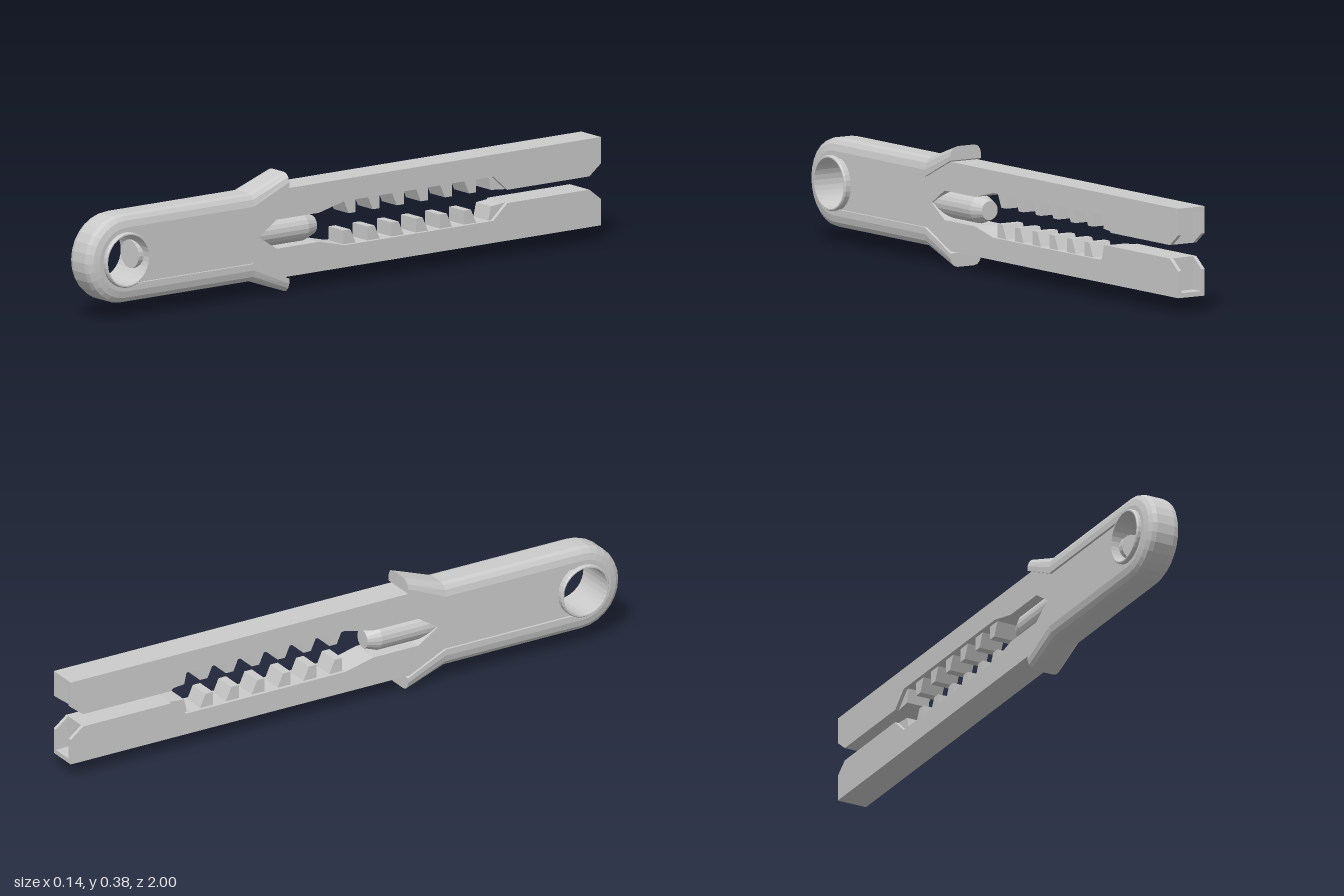
import * as THREE from 'three';

const MID = 0.19;        // height of the symmetry axis
const HEAD = 0.86;       // z of the eyelet centre
const HOLE = 0.08;       // eyelet radius
const ARM = 0.14;        // half height of the closed pair of arms
const SKIN = 0.012;      // thickness of the arm side walls
const material = new THREE.MeshStandardMaterial({ color: 0xcccccc, flatShading: true });

function part(name, geometry) {
  const mesh = new THREE.Mesh(geometry, material);
  mesh.name = name;
  return mesh;
}

// Extrude a (z, y) outline across x, from x0 to x0 + width
function sidewaysExtrude(points, x0, width) {
  const shape = new THREE.Shape(points.map(([z, y]) => new THREE.Vector2(z, y)));
  const hole = new THREE.Path();
  hole.absarc(HEAD, 0, HOLE, 0, Math.PI * 2, true);
  shape.holes.push(hole);
  const g = new THREE.ExtrudeGeometry(shape, { depth: width, bevelEnabled: false, curveSegments: 16 });
  return g.rotateY(-Math.PI / 2).translate(x0 + width, 0, 0);
}

// Fork outline: rounded head, then upper and lower arm around the opening
function forkOutline(upperInner, lowerInner) {
  const head = [];
  for (let i = 0; i <= 12; i++) {
    const a = -Math.PI / 2 + (i / 12) * Math.PI;
    head.push([HEAD + 0.125 * Math.cos(a), 0.125 * Math.sin(a)]);
  }
  const flip = ([z, y]) => [z, -y];
  return [
    [0.3, -ARM], [0.36, -0.125], ...head, [0.36, 0.125], [0.3, ARM],
    [-1, ARM], ...upperInner.slice().reverse(),
    [0.335, 0],
    ...lowerInner.map(flip), [-1, -ARM],
  ];
}

// Inner edge of one arm, from the crotch to the tip, as height above the axis
const crotch = [[0.265, 0.046], [0.1, 0.046], [0, 0.07]];
const wallEdge = [...crotch, [-0.58, 0.07], [-0.635, 0.021], [-0.955, 0.021], [-1, 0.056]];

// Core between the walls: same edge with teeth, and a shallow recess at the tip
function coreEdge(frontSlope, backSlope) {
  const pts = [...crotch];
  for (let i = 0; i < 6; i++) {
    const z = -0.005 - i * 0.094;
    pts.push([z, 0.07], [z - frontSlope, 0.026], [z - 0.047 + backSlope, 0.026], [z - 0.047, 0.07]);
  }
  pts.push([-0.57, 0.07], [-0.58, 0.026], [-0.635, 0.021], [-0.955, 0.021], [-0.955, ARM - 0.015], [-1, ARM - 0.015]);
  return pts;
}

// Rounded rim that wraps the head and flares into two wings
function rimGeometry() {
  const stations = [[0.222, 0.189, 0.222, 0.145], [0.36, 0.14, 0.36, 0.08]];
  const n = 14;
  for (let i = 0; i <= n; i++) {
    const a = Math.PI / 2 - (i / n) * Math.PI;
    const c = Math.cos(a), s = Math.sin(a);
    stations.push([HEAD + 0.14 * c, 0.14 * s, HEAD + HOLE * c, HOLE * s]);
  }
  stations.push([0.36, -0.14, 0.36, -0.08], [0.222, -0.189, 0.222, -0.145]);

  const half = [[0.058, 0], [0.058, 0.35], [0.053, 0.7], [0.044, 0.92], [0.03, 1]];
  const section = [...half, ...half.slice().reverse().map(([x, t]) => [-x, t])];
  const m = section.length, pos = [], idx = [];
  for (const [oz, oy, iz, iy] of stations) {
    for (const [x, t] of section) pos.push(x, iy + (oy - iy) * t, iz + (oz - iz) * t);
  }
  for (let i = 0; i < stations.length - 1; i++) {
    for (let j = 0; j < m; j++) {
      const a = i * m + j, b = i * m + (j + 1) % m;
      idx.push(a, b, a + m, b, b + m, a + m);
    }
  }
  const last = (stations.length - 1) * m;
  for (let j = 1; j < m - 1; j++) {
    idx.push(0, j + 1, j, last, last + j, last + j + 1);
  }
  const g = new THREE.BufferGeometry();
  g.setAttribute('position', new THREE.Float32BufferAttribute(pos, 3));
  g.setIndex(idx);
  g.computeVertexNormals();
  return g;
}

export function createModel() {
  const model = new THREE.Group();
  model.name = 'toothedClip';
  const body = new THREE.Group();
  body.name = 'clipBody';
  body.position.y = MID - 0.001;
  model.add(body);

  // Side walls and toothed core
  const walls = forkOutline(wallEdge, wallEdge);
  body.add(part('leftWall', sidewaysExtrude(walls, 0.05 - SKIN, SKIN)));
  body.add(part('rightWall', sidewaysExtrude(walls, -0.05, SKIN)));
  const core = forkOutline(coreEdge(0.02, 0), coreEdge(0, 0.02));
  body.add(part('toothedCore', sidewaysExtrude(core, -0.05 + SKIN, 0.1 - 2 * SKIN)));

  // Rim with flared wings
  body.add(part('rimAndWings', rimGeometry()));

  // Eyelet ring
  const ring = [[0.08, -0.072], [0.084, -0.072], [0.087, -0.068], [0.087, 0.068], [0.084, 0.072], [0.08, 0.072], [0.08, -0.072]]
    .map(([r, x]) => new THREE.Vector2(r, x));
  const eyelet = part('eyelet', new THREE.LatheGeometry(ring, 32));
  eyelet.rotation.z = Math.PI / 2;
  eyelet.position.z = HEAD;
  body.add(eyelet);

  // Central pin with tapered tip, its back end showing inside the eyelet
  const pin = [[0, 0.8], [0.045, 0.8], [0.045, 0.135], [0.03, 0.092], [0, 0.092]]
    .reverse().map(([r, z]) => new THREE.Vector2(r, z));
  const pinMesh = part('pin', new THREE.LatheGeometry(pin, 20));
  pinMesh.rotation.x = Math.PI / 2;
  body.add(pinMesh);

  return model;
}
